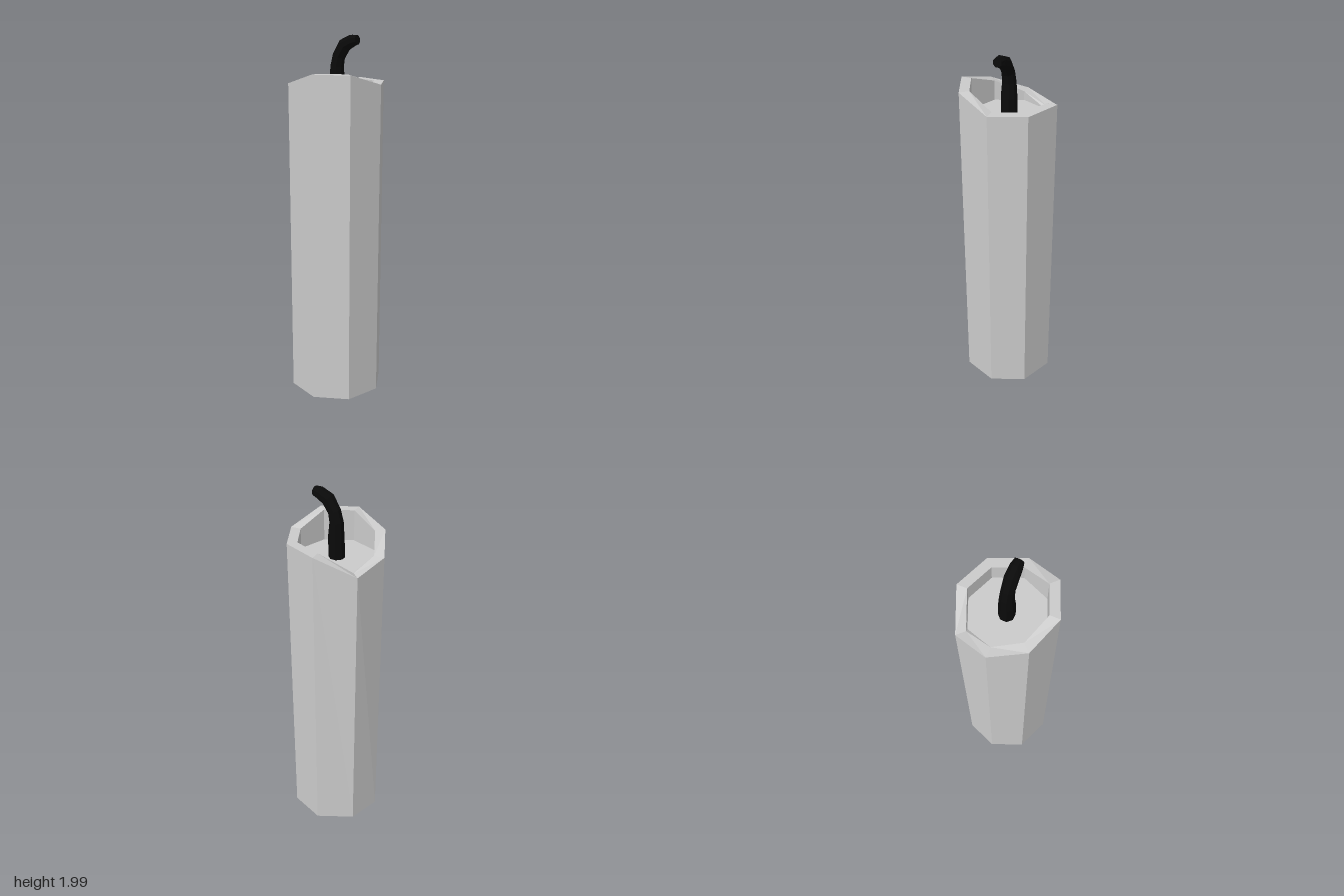
import * as THREE from 'three';

// Faceted skin over successive rings (ordered clockwise seen from the end of the path).
function loft(rings) {
  const out = [];
  const tri = (a, b, c) => {
    if (a.distanceTo(b) > 1e-6 && b.distanceTo(c) > 1e-6 && c.distanceTo(a) > 1e-6) out.push(a, b, c);
  };
  for (let i = 0; i < rings.length - 1; i++) {
    const lo = rings[i], hi = rings[i + 1], n = lo.length;
    for (let j = 0; j < n; j++) {
      const k = (j + 1) % n;
      tri(lo[j], hi[j], hi[k]);
      tri(lo[j], hi[k], lo[k]);
    }
  }
  const geo = new THREE.BufferGeometry().setFromPoints(out);
  geo.computeVertexNormals();
  return geo;
}

const V = (x, y, z) => new THREE.Vector3(x, y, z);

// Irregular octagon [x, z, rim height], from the back round through +x
const OUTER = [
  [-0.03, -0.268, 1.65], [0.174, -0.192, 1.75], [0.261, -0.01, 1.75], [0.196, 0.179, 1.75],
  [0.015, 0.267, 1.81], [-0.175, 0.201, 1.81], [-0.263, 0.02, 1.75], [-0.198, -0.17, 1.69],
];
const INNER = [
  [-0.027, -0.213], [0.138, -0.15], [0.206, -0.008], [0.155, 0.142],
  [0.012, 0.212], [-0.138, 0.16], [-0.207, 0.017], [-0.156, -0.133],
];
const FLOOR = 1.64;

function candleBody() {
  const centre = y => OUTER.map(() => V(0, y, 0));
  const base = OUTER.map(([x, z], i) => V(x, 0, i === 0 ? -0.256 : z));
  const rim = OUTER.map(([x, z, y]) => V(x, y, z));
  const lip = INNER.map(([x, z], i) => V(x, OUTER[i][2], z));
  // the well narrows slightly at its low back corner
  const well = INNER.map(([x, z], i) => (i === 0 ? V(-0.015, FLOOR, -0.202) : V(x, FLOOR, z)));
  return loft([centre(0), base, rim, lip, well, centre(FLOOR)]);
}

function wick() {
  // [distance along the bend, height, radius]
  const path = [
    [0, FLOOR - 0.01, 0.043], [0.004, 1.75, 0.042], [0.002, 1.83, 0.036],
    [0.014, 1.885, 0.034], [0.05, 1.943, 0.036], [0.098, 1.967, 0.032], [0.128, 1.972, 0.025],
  ];
  const s = Math.SQRT1_2, side = V(-s, 0, s);
  const pts = path.map(([d, y]) => V(d * s, y, d * s));
  const rings = pts.map((p, i) => {
    const t = pts[Math.min(i + 1, pts.length - 1)].clone().sub(pts[Math.max(i - 1, 0)]).normalize();
    const n = side.clone().cross(t);
    return Array.from({ length: 8 }, (_, j) => {
      const a = (j + 0.5) * Math.PI / 4, r = path[i][2];
      return p.clone().addScaledVector(side, r * Math.cos(a)).addScaledVector(n, r * Math.sin(a));
    });
  });
  const cap = p => Array(8).fill(p);
  return loft([cap(pts[0]), ...rings, cap(pts[pts.length - 1])]);
}

export function createModel() {
  const group = new THREE.Group();
  group.name = 'candle';
  const add = (name, geo, color) => {
    const mesh = new THREE.Mesh(geo, new THREE.MeshStandardMaterial({ color, flatShading: true }));
    mesh.name = name;
    group.add(mesh);
  };
  add('candleBody', candleBody(), 0xcccccc);
  add('wick', wick(), 0x0a0a0a);
  return group;
}
